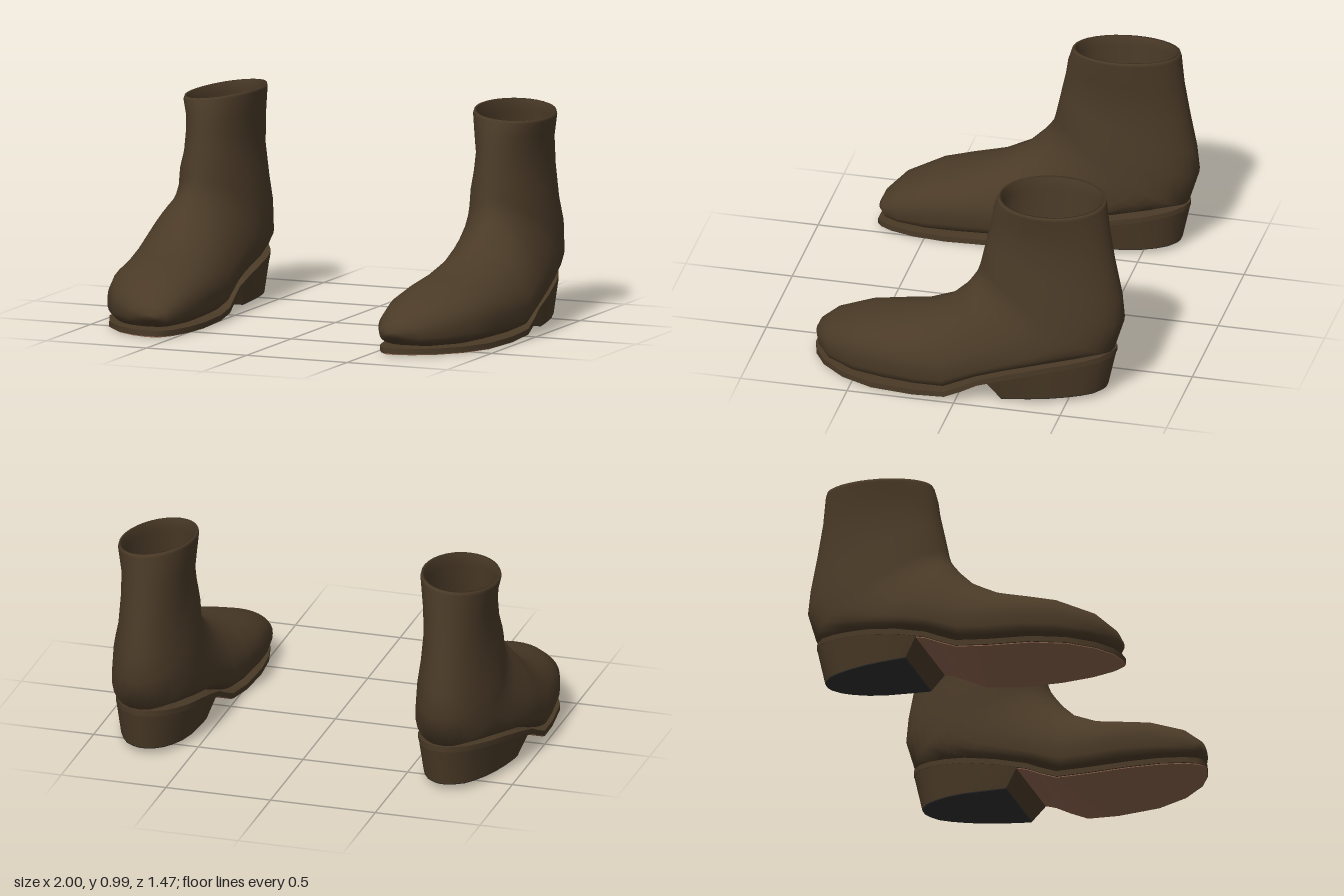
import * as THREE from 'three';
import { toCreasedNormals } from 'three/addons/utils/BufferGeometryUtils.js';

const material = (name, color, side = THREE.FrontSide) => {
  const m = new THREE.MeshStandardMaterial({ color, side });
  m.name = name;
  return m;
};

// Skin a list of equal-length rings, with optional caps at either end
function loft(rings, capStart, capEnd) {
  const n = rings[0].length, pos = rings.flat(2), idx = [];
  for (let i = 0; i < rings.length - 1; i++) {
    for (let j = 0; j < n; j++) {
      const k = (j + 1) % n;
      const a = i * n + j, b = i * n + k, c = a + n, d = b + n;
      idx.push(a, c, b, b, c, d);
    }
  }
  const cap = (ring, base, flip) => {
    const centre = pos.length / 3;
    for (let k = 0; k < 3; k++) pos.push(ring.reduce((s, p) => s + p[k], 0) / n);
    for (let j = 0; j < n; j++) {
      const a = base + j, b = base + (j + 1) % n;
      if (flip) idx.push(centre, b, a); else idx.push(centre, a, b);
    }
  };
  if (capStart) cap(rings[0], 0, false);
  if (capEnd) cap(rings[rings.length - 1], (rings.length - 1) * n, true);
  const g = new THREE.BufferGeometry();
  g.setAttribute('position', new THREE.Float32BufferAttribute(pos, 3));
  g.setIndex(idx);
  g.computeVertexNormals();
  return g;
}

// Piecewise linear lookup in rows sorted by falling z
function at(rows, z, col) {
  for (let i = 0; i < rows.length - 1; i++) {
    const a = rows[i], b = rows[i + 1];
    if (z <= a[0] && z >= b[0]) return a[col] + (b[col] - a[col]) * (a[0] - z) / (a[0] - b[0]);
  }
  return (z > rows[0][0] ? rows[0] : rows[rows.length - 1])[col];
}

// Upper, toe to collar: lower z,y | upper z,y | inner x, outer x | height of widest point, lower and upper roundness
const FOOT = [
  [0.72, 0.075, 0.733, 0.105, 0.57, 0.65, 0.5, 1, 1],
  [0.69, 0.045, 0.715, 0.145, 0.53, 0.73, 0.45, 0.8, 0.95],
  [0.63, 0.035, 0.64, 0.21, 0.495, 0.83, 0.42, 0.65, 0.9],
  [0.5, 0.03, 0.48, 0.275, 0.47, 0.92, 0.42, 0.55, 0.9],
  [0.36, 0.03, 0.35, 0.305, 0.463, 0.963, 0.42, 0.55, 0.95],
  [0.2, 0.033, 0.2, 0.35, 0.475, 0.985, 0.36, 0.5, 1.05],
  [0.06, 0.043, 0.07, 0.42, 0.495, 1.0, 0.3, 0.5, 1.15],
  [-0.09, 0.112, 0.0, 0.49, 0.51, 0.995, 0.25, 0.5, 1.2],
  [-0.22, 0.15, -0.03, 0.53, 0.517, 0.98, 0.25, 0.5, 1.2],
  [-0.4, 0.185, -0.05, 0.56, 0.52, 0.95, 0.28, 0.55, 1.15],
  [-0.56, 0.21, -0.06, 0.59, 0.527, 0.93, 0.36, 0.7, 1.1],
];
const SHAFT = [
  [-0.69, 0.235, -0.067, 0.62, 0.535, 0.915, 0.45, 0.85, 1.05],
  [-0.735, 0.38, -0.08, 0.68, 0.545, 0.905, 0.5, 0.95, 1],
  [-0.725, 0.5, -0.095, 0.75, 0.56, 0.885, 0.5, 1, 1],
  [-0.69, 0.68, -0.11, 0.82, 0.57, 0.877, 0.5, 1, 1],
  [-0.665, 0.83, -0.121, 0.89, 0.56, 0.88, 0.5, 1, 1],
  [-0.65, 0.965, -0.14, 0.955, 0.545, 0.9, 0.5, 1, 1, 0.11],
  // rolled collar and lining
  [-0.645, 0.982, -0.147, 0.968, 0.549, 0.896, 0.5, 1, 1, 0.11],
  [-0.632, 0.98, -0.16, 0.966, 0.562, 0.883, 0.5, 1, 1, 0.11],
  [-0.635, 0.93, -0.155, 0.91, 0.565, 0.88, 0.5, 1, 1, 0.08],
  [-0.67, 0.62, -0.12, 0.7, 0.585, 0.86, 0.5, 1, 1],
];

function section([z0, y0, z1, y1, xi, xo, f, pb, pt, tilt = 0]) {
  const ring = [], N = 32, cx = (xi + xo) / 2, w = (xo - xi) / 2;
  for (let j = 0; j < N; j++) {
    const t = j / N * Math.PI * 2, c = Math.cos(t), s = Math.sin(t);
    const p = s < 0 ? pb : pt;
    const x = cx + w * Math.sign(c) * Math.abs(c) ** p;
    const h = Math.abs(s) ** p, v = s < 0 ? f - f * h : f + (1 - f) * h;
    ring.push([x, y0 + (y1 - y0) * v - (x - cx) * tilt, z0 + (z1 - z0) * v]);
  }
  return ring;
}

// Sole outline: z, inner x, outer x, top y
const SOLE = [
  [0.735, 0.57, 0.63, 0.034], [0.715, 0.545, 0.7, 0.034], [0.66, 0.515, 0.79, 0.033],
  [0.55, 0.487, 0.885, 0.032], [0.4, 0.475, 0.95, 0.031], [0.2, 0.483, 0.975, 0.033],
  [0.05, 0.503, 0.985, 0.045], [-0.03, 0.515, 0.98, 0.08], [-0.1, 0.522, 0.972, 0.115],
  [-0.25, 0.525, 0.957, 0.158], [-0.4, 0.532, 0.925, 0.19], [-0.5, 0.55, 0.893, 0.205],
  [-0.58, 0.58, 0.858, 0.217], [-0.64, 0.615, 0.822, 0.225], [-0.68, 0.66, 0.77, 0.23],
  [-0.695, 0.695, 0.735, 0.232],
];

// Flat plate that follows the curve of the sole
function plate(rows, top, bottom, inset) {
  return loft(rows.map(([z, xi, xo, y]) => {
    const d = Math.min(inset, (xo - xi) * 0.25);
    return [[xo - d, y + bottom, z], [xo - d, y + top, z], [xi + d, y + top, z], [xi + d, y + bottom, z]];
  }), true, true);
}

// Heel outline at depth t (0 under the sole, 1 at the ground)
const HEEL_Z = [-0.14, -0.2, -0.3, -0.4, -0.5, -0.58, -0.64, -0.68, -0.695];
function heelRing(t, drop = 0, shrink = 1) {
  const point = (z, col) => {
    const x = at(SOLE, z, col), k = (z + 0.14) / -0.555;
    const zb = -0.205 - 0.45 * k, yb = 0.018 + 0.015 * k;
    const zz = z + (zb - z) * t;
    const y0 = at(SOLE, z, 3) - 0.015;
    const s = (1 - 0.14 * t) * shrink;
    return [0.725 + (x - 0.725) * s, y0 + (yb - y0) * t - drop, -0.43 + (zz + 0.43) * shrink];
  };
  return [...HEEL_Z.map(z => point(z, 2)), ...[...HEEL_Z].reverse().map(z => point(z, 1))];
}

export function createModel() {
  const leather = material('dark brown leather', 0x4a3a27, THREE.DoubleSide);
  const tan = material('tan sole', 0x8c634d);
  const black = material('black rubber', 0x2f2f2f);

  function boot(name) {
    const g = new THREE.Group();
    g.name = name;
    const add = (part, geometry, mat) => {
      const m = new THREE.Mesh(geometry, mat);
      m.name = part;
      g.add(m);
    };
    add('upper', loft([...FOOT, ...SHAFT].map(section), true, false), leather);
    add('welt', toCreasedNormals(plate(SOLE, 0, -0.026, 0), 0.7), leather);
    // tread stops under the front of the heel
    add('tread', toCreasedNormals(plate(SOLE.filter(r => r[0] > -0.3), -0.024, -0.03, 0.008), 0.7), tan);
    add('heel', toCreasedNormals(loft([0, 0.5, 1].map(t => heelRing(t))), 0.7), leather);
    add('heelTip', toCreasedNormals(loft([heelRing(1), heelRing(1, 0.004, 0.99)], false, true), 0.7), black);
    add('insole', toCreasedNormals(plate(SOLE.filter(r => r[0] < -0.2), 0.04, 0.032, 0.015), 0.7), black);
    return g;
  }

  const model = new THREE.Group();
  model.name = 'ankleBoots';
  const left = boot('leftBoot'), right = boot('rightBoot');
  right.scale.x = -1;
  model.add(left, right);
  return model;
}
